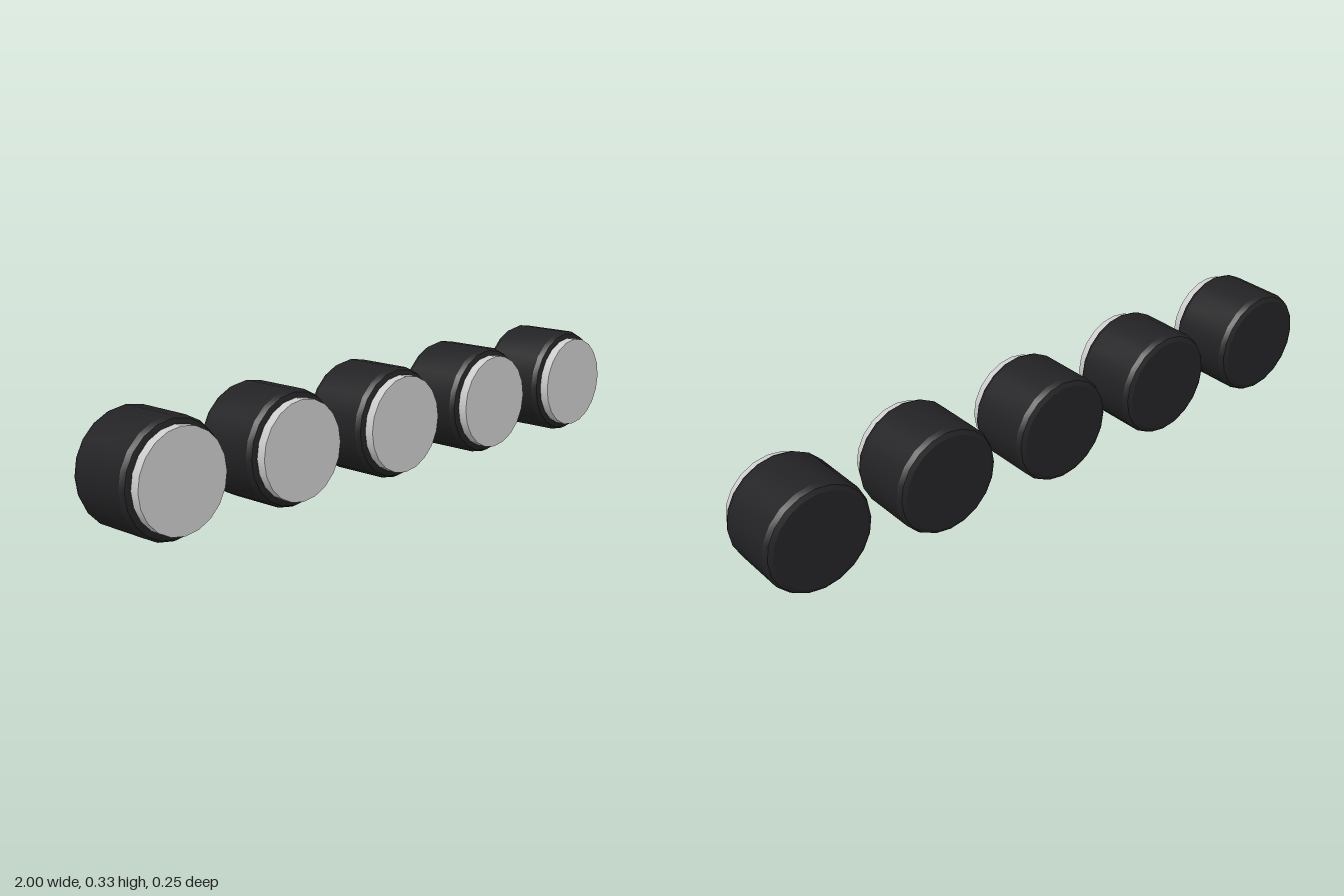
import * as THREE from 'three';
import { toCreasedNormals } from 'three/addons/utils/BufferGeometryUtils.js';

const COUNT = 5, SPACING = 0.417, RADIUS = 0.166, SIDES = 20;

export function createModel() {
  const model = new THREE.Group();
  model.name = 'knobRow';

  const dark = new THREE.MeshStandardMaterial({ color: 0x222224 });
  const grey = new THREE.MeshStandardMaterial({ color: 0xcccccc });

  // Knob body: closed drum with bevelled rims, profile as [radius, z]
  const profile = [
    [0, -0.122], [0.146, -0.122], [0.159, -0.115], [RADIUS, -0.1],
    [RADIUS, 0.075], [0.159, 0.09], [0.146, 0.095], [0, 0.095],
  ].map(([r, z]) => new THREE.Vector2(r, z));
  const bodyGeometry = toCreasedNormals(
    new THREE.LatheGeometry(profile, SIDES).rotateX(Math.PI / 2), 0.4);

  // Face cap: short disc standing proud of the front
  const capGeometry = new THREE.CylinderGeometry(0.1435, 0.1435, 0.038, SIDES)
    .rotateX(Math.PI / 2).translate(0, 0.001, 0.104);

  for (let i = 0; i < COUNT; i++) {
    const knob = new THREE.Group();
    knob.name = `knob${i + 1}`;
    knob.position.set((i - (COUNT - 1) / 2) * SPACING, RADIUS, 0);

    const body = new THREE.Mesh(bodyGeometry, dark);
    body.name = 'knobBody';
    const cap = new THREE.Mesh(capGeometry, grey);
    cap.name = 'faceCap';

    knob.add(body, cap);
    model.add(knob);
  }
  return model;
}
